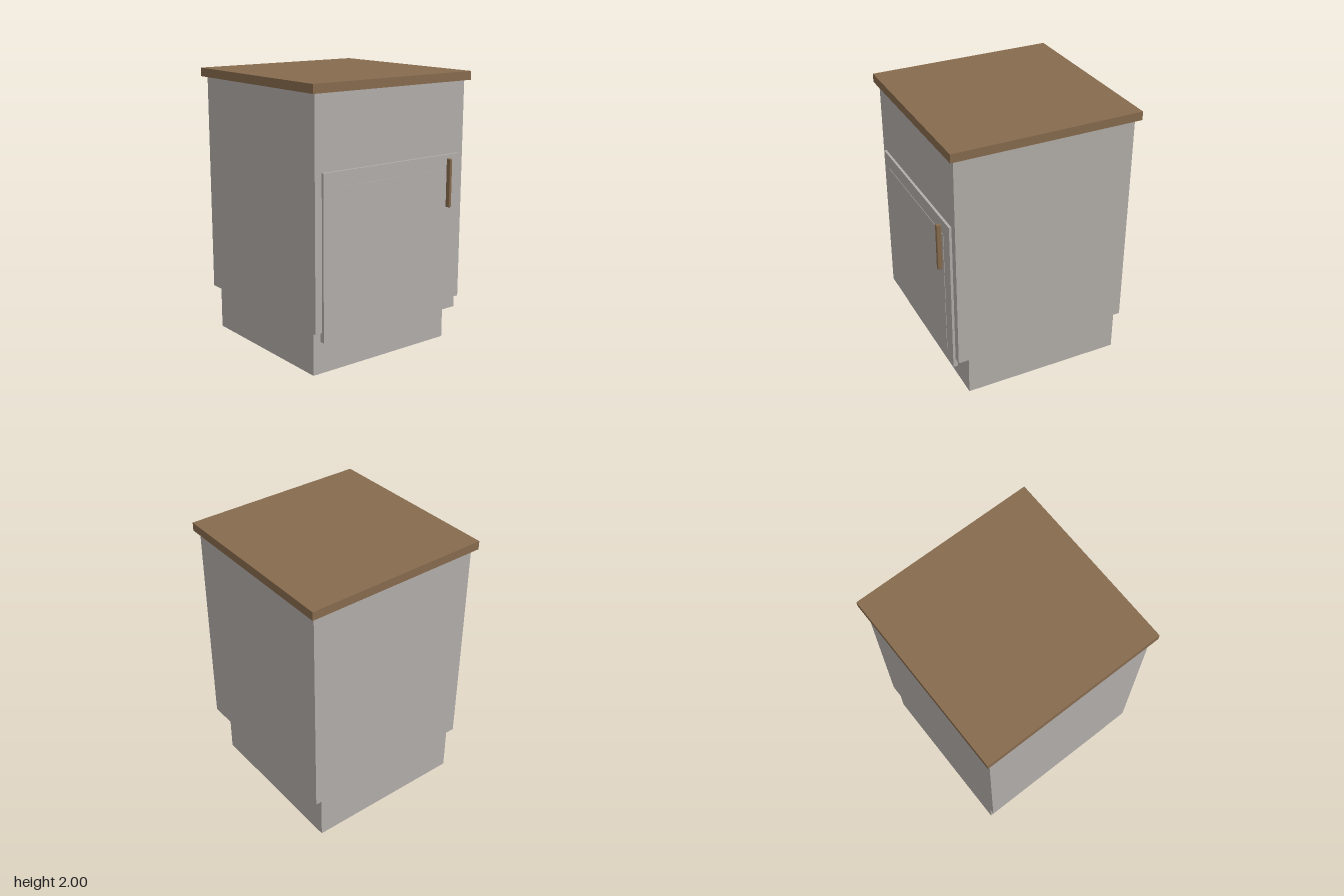
import * as THREE from 'three';
import { RoundedBoxGeometry } from 'three/addons/geometries/RoundedBoxGeometry.js';

export function createModel() {
  const group = new THREE.Group();
  group.name = 'cabinet';

  const paint = new THREE.MeshStandardMaterial({ color: 0xb3aeaa });
  paint.name = 'warm grey paint';
  const wood = new THREE.MeshStandardMaterial({ color: 0x876b4e });
  wood.name = 'brown wood';

  // Adds a block spanning the given [min, max] ranges, optionally with rounded edges
  function block(name, material, [x0, x1], [y0, y1], [z0, z1], radius = 0) {
    const size = [x1 - x0, y1 - y0, z1 - z0];
    const geometry = radius
      ? new RoundedBoxGeometry(...size, 3, radius)
      : new THREE.BoxGeometry(...size);
    const mesh = new THREE.Mesh(geometry, material);
    mesh.name = name;
    mesh.position.set((x0 + x1) / 2, (y0 + y1) / 2, (z0 + z1) / 2);
    group.add(mesh);
    return mesh;
  }

  // Carcass: recessed plinth, body and overhanging worktop
  block('plinth', paint, [-0.6, 0.6], [0, 0.34], [-0.657, 0.54]);
  block('body', paint, [-0.655, 0.655], [0.34, 1.938], [-0.67, 0.64]);
  block('worktop', wood, [-0.688, 0.688], [1.938, 2], [-0.705, 0.672]);

  // Door hangs slightly below the body, with a shallow raised panel
  block('door', paint, [-0.6, 0.6], [0.272, 1.425], [0.622, 0.658]);
  block('doorPanel', paint, [-0.5, 0.5], [0.375, 1.32], [0.655, 0.661]);

  // Upright pull handle on the model's left
  block('handle', wood, [0.476, 0.5], [1.05, 1.4], [0.668, 0.705], 0.007);

  return group;
}
